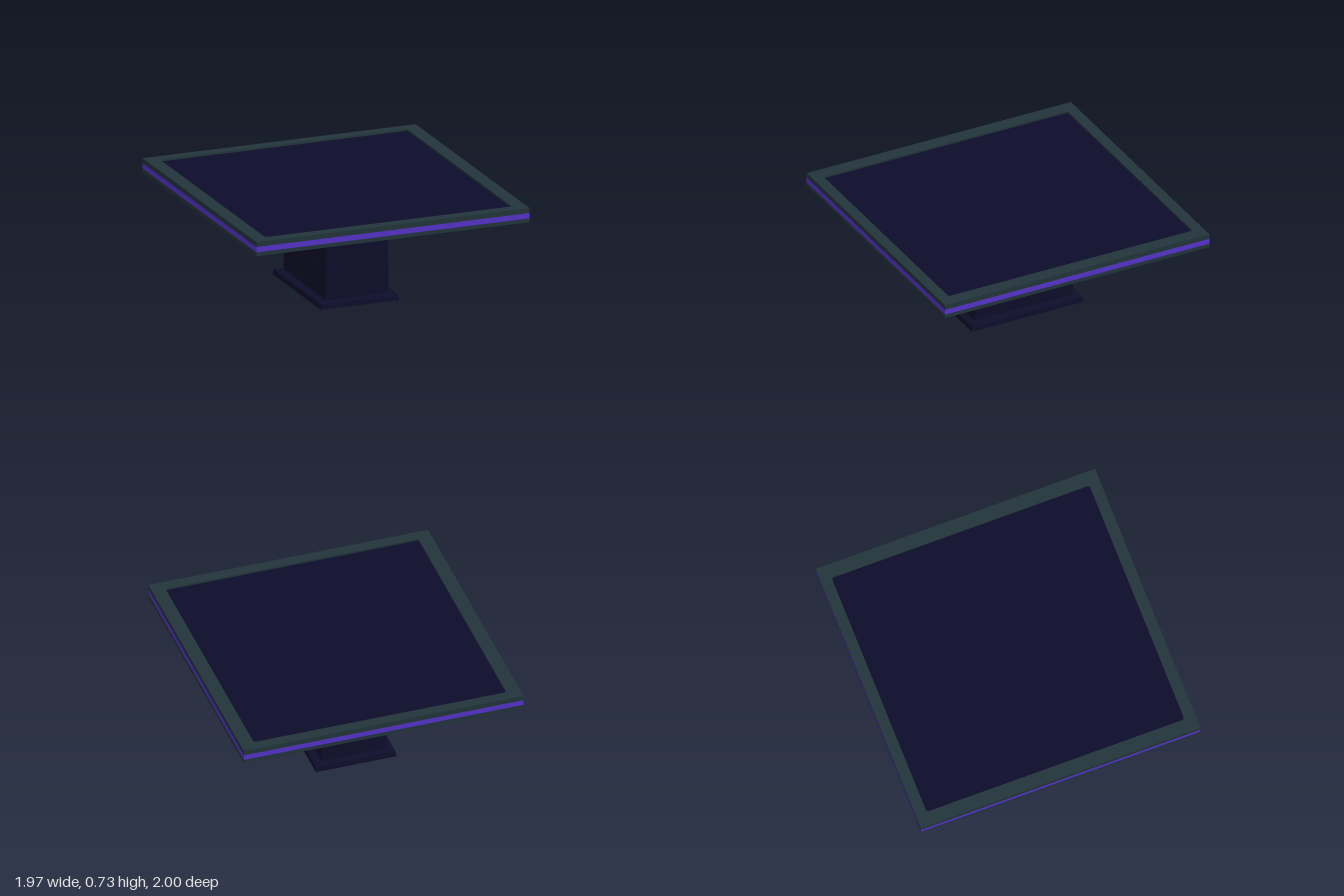
import * as THREE from 'three';

const navy = new THREE.MeshStandardMaterial({ color: 0x0d0d2b });
navy.name = 'dark navy';
const slate = new THREE.MeshStandardMaterial({ color: 0x22353a });
slate.name = 'dark slate';
const violet = new THREE.MeshStandardMaterial({ color: 0x5533cc });
violet.name = 'violet';

// Box from y0 to y1 whose top may be narrower than its bottom
function block(name, material, w, d, y0, y1, topW = w, topD = d) {
  const geometry = new THREE.BoxGeometry(w, y1 - y0, d);
  const p = geometry.attributes.position;
  for (let i = 0; i < p.count; i++) {
    if (p.getY(i) > 0) {
      p.setX(i, p.getX(i) * topW / w);
      p.setZ(i, p.getZ(i) * topD / d);
    }
  }
  geometry.computeVertexNormals();
  const mesh = new THREE.Mesh(geometry, material);
  mesh.position.y = (y0 + y1) / 2;
  mesh.name = name;
  return mesh;
}

// Rectangle with small clipped corners
function outline(Type, w, d, c) {
  const x = w / 2, y = d / 2;
  const pts = [[x - c, y], [x, y - c], [x, c - y], [x - c, -y],
    [c - x, -y], [-x, c - y], [-x, y - c], [c - x, y]];
  return new Type(pts.map(([a, b]) => new THREE.Vector2(a, b)));
}

export function createModel() {
  const group = new THREE.Group();
  group.name = 'table';
  const W = 1.974, D = 2;

  // Foot and pedestal
  group.add(
    block('footPlate', navy, 0.57, 0.85, 0, 0.035, 0.56, 0.84),
    block('footBevel', navy, 0.56, 0.84, 0.035, 0.045, 0.45, 0.742),
    block('lowerPedestal', navy, 0.452, 0.746, 0.04, 0.27),
    block('upperPedestal', navy, 0.446, 0.74, 0.27, 0.63)
  );

  // Layered table top: slab, violet edge band, core
  group.add(
    block('lowerSlab', slate, W, D, 0.63, 0.657),
    block('edgeBand', violet, W, D, 0.657, 0.695),
    block('upperSlab', slate, W, D, 0.695, 0.708)
  );

  // Raised rim around the inset surface
  const rimShape = new THREE.Shape([[-W, -D], [W, -D], [W, D], [-W, D]]
    .map(([x, y]) => new THREE.Vector2(x / 2, y / 2)));
  rimShape.holes.push(outline(THREE.Path, 1.784, 1.846, 0.012));
  const rim = new THREE.Mesh(
    new THREE.ExtrudeGeometry(rimShape, { depth: 0.022, bevelEnabled: false }), slate);
  rim.rotation.x = -Math.PI / 2;
  rim.position.y = 0.708;
  rim.name = 'rim';

  // Inset surface, slightly below the rim
  const surface = new THREE.Mesh(
    new THREE.ExtrudeGeometry(outline(THREE.Shape, 1.784, 1.846, 0.012),
      { depth: 0.009, bevelEnabled: false }), navy);
  surface.rotation.x = -Math.PI / 2;
  surface.position.y = 0.708;
  surface.name = 'insetSurface';

  group.add(rim, surface);
  return group;
}
